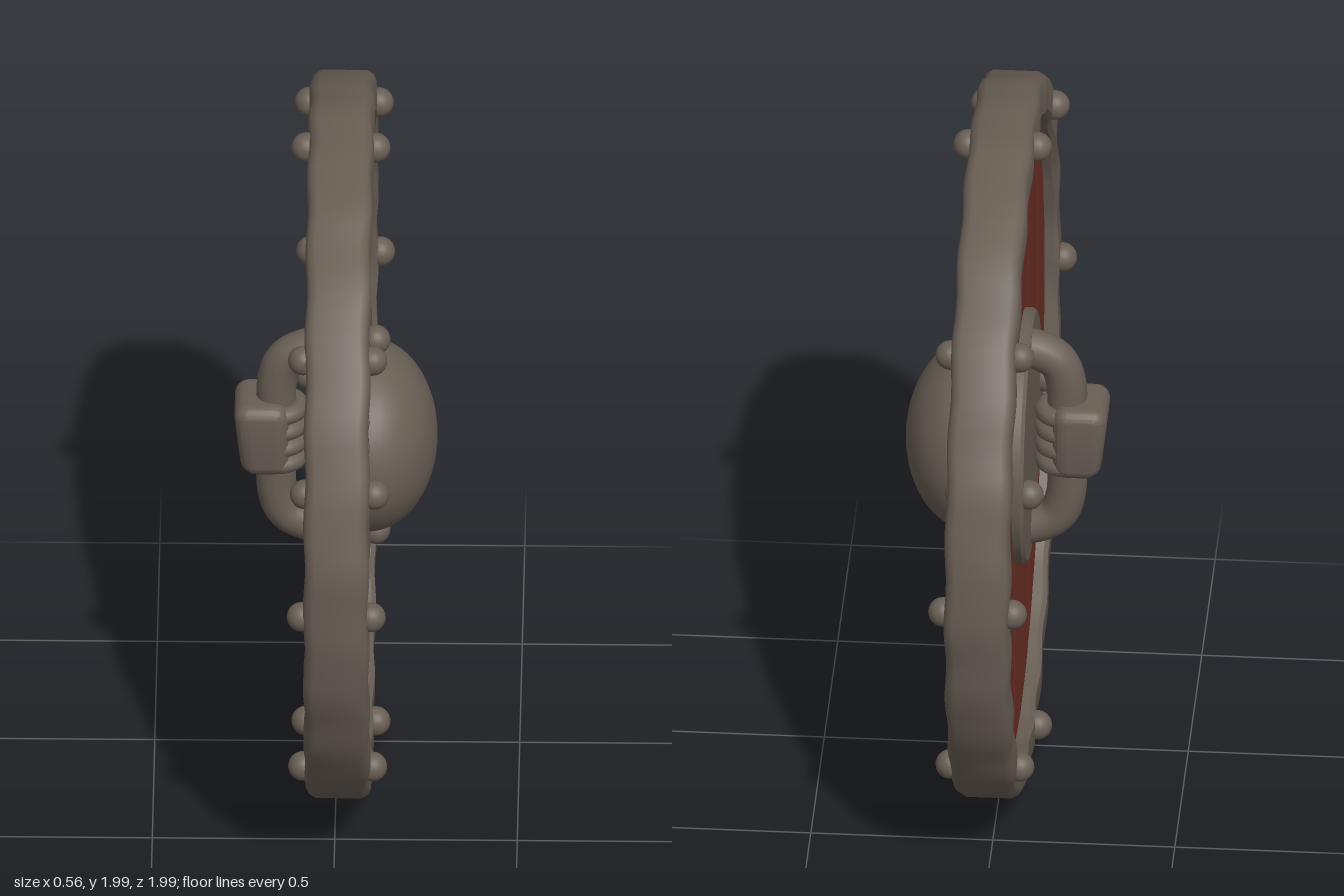
import * as THREE from 'three';
import { toCreasedNormals } from 'three/addons/utils/BufferGeometryUtils.js';
import { RoundedBoxGeometry } from 'three/addons/geometries/RoundedBoxGeometry.js';

const iron = new THREE.MeshStandardMaterial({ color: 0x685e54 });
iron.name = 'worn iron';
const paint = new THREE.MeshStandardMaterial({ color: 0x6b2f25 });
paint.name = 'red painted wood';
const groove = new THREE.MeshStandardMaterial({ color: 0x431c15 });
groove.name = 'dark wood groove';

const CY = 1;      // height of the shield's centre
const MID = 0.01;  // middle of its thickness along x

function add(parent, name, geometry, material, x = 0, y = 0, z = 0) {
  const mesh = new THREE.Mesh(geometry, material);
  mesh.name = name;
  mesh.position.set(x, y, z);
  parent.add(mesh);
  return mesh;
}

// Revolves [radius, x] pairs about the x axis; wobble dents the edges like hammered metal
function turned(profile, segments, wobble = 0) {
  const geo = new THREE.LatheGeometry(profile.map(([r, h]) => new THREE.Vector2(r, h)), segments);
  geo.rotateZ(-Math.PI / 2);
  const p = geo.attributes.position;
  for (let i = 0; wobble && i < p.count; i++) {
    const a = Math.atan2(p.getZ(i), p.getY(i));
    const s = 1 - wobble * (0.5 + 0.25 * Math.sin(17 * a) + 0.25 * Math.sin(29 * a + 1.3));
    const dx = wobble * 0.4 * Math.sin(23 * a + 0.6);
    p.setXYZ(i, p.getX(i) + dx, p.getY(i) * s, p.getZ(i) * s);
  }
  return toCreasedNormals(geo, 0.7);
}

// Boards of one face, cut from a disc along slightly slanted seams
function createBoards(name) {
  const R = 0.895, gap = 0.005;
  const face = new THREE.Group();
  face.name = name;
  // Each seam: its offset at the top and at the bottom
  const seams = [[-R, -R], [-0.685, -0.70], [-0.218, -0.238], [0.275, 0.275], [0.615, 0.625], [R, R]];
  const arcY = (x) => Math.sqrt(Math.max(0, R * R - x * x));
  for (let i = 0; i < seams.length - 1; i++) {
    const [tl, bl] = seams[i].map((v) => v + gap);
    const [tr, br] = seams[i + 1].map((v) => v - gap);
    const pts = [];
    for (let k = 0; k <= 16; k++) {
      const x = bl + (br - bl) * k / 16;
      pts.push(new THREE.Vector2(x, -arcY(x)));
    }
    for (let k = 0; k <= 16; k++) {
      const x = tr + (tl - tr) * k / 16;
      pts.push(new THREE.Vector2(x, arcY(x)));
      // Split running down from the top of the middle board
      if (i === 2 && k === 6) {
        pts.push(new THREE.Vector2(0.014, arcY(0.014)), new THREE.Vector2(0.006, 0.76),
          new THREE.Vector2(0.012, 0.58), new THREE.Vector2(0.0, 0.76), new THREE.Vector2(0.007, arcY(0.007)));
      }
    }
    const geo = new THREE.ExtrudeGeometry(new THREE.Shape(pts), {
      depth: 0.035, bevelThickness: 0.007, bevelSize: 0.006, bevelOffset: -0.006, bevelSegments: 2,
    });
    geo.rotateY(Math.PI / 2);
    add(face, 'board' + (i + 1), geo, paint, 0.008, 0, 0);
  }
  return face;
}

export function createModel() {
  const shield = new THREE.Group();
  shield.name = 'roundShield';

  // Wooden core and the boards on both faces
  const core = new THREE.CylinderGeometry(0.9, 0.9, 0.05, 64);
  core.rotateZ(Math.PI / 2);
  add(shield, 'core', core, groove, MID, CY, 0);
  const front = createBoards('frontBoards');
  front.position.set(MID, CY, 0);
  const back = createBoards('backBoards');
  back.position.set(MID, CY, 0);
  back.rotation.y = Math.PI;
  shield.add(front, back);

  // Hammered iron rim
  const half = 0.088;
  const rim = turned([
    [0.888, -half + 0.012], [0.9, -half], [0.972, -half], [0.99, -half + 0.008], [1, -half + 0.026],
    [1, half - 0.026], [0.99, half - 0.008], [0.972, half], [0.9, half], [0.888, half - 0.012],
    [0.884, 0], [0.888, -half + 0.012],
  ], 144, 0.008);
  add(shield, 'rim', rim, iron, MID, CY, 0);

  // Boss: flange with a domed centre
  const flange = turned([
    [0.355, 0.03], [0.355, 0.078], [0.345, 0.09], [0.268, 0.09], [0.24, 0.085],
  ], 64, 0.006);
  add(shield, 'bossFlange', flange, iron, 0, CY, 0);
  const dome = [];
  for (let i = 0; i <= 16; i++) {
    const a = i / 16 * Math.PI / 2;
    dome.push([0.267 * Math.cos(a), 0.085 + 0.19 * Math.sin(a)]);
  }
  add(shield, 'bossDome', turned(dome, 48), iron, 0, CY, 0);

  // Plate behind the handle
  const plate = turned([[0, -0.072], [0.342, -0.072], [0.352, -0.062], [0.352, -0.02]], 64);
  add(shield, 'backPlate', plate, iron, 0, CY, 0);

  // Rivets around the rim and the boss
  const rivetGeo = new THREE.SphereGeometry(0.041, 20, 14);
  const rivet = (name, x, r, a) => add(shield, name, rivetGeo, iron, x, CY + r * Math.cos(a), r * Math.sin(a));
  for (let i = 0; i < 8; i++) {
    const a = i * Math.PI / 4;
    rivet('frontRimRivet', 0.105, 0.932, a);
    rivet('backRimRivet', -0.085, 0.932, a);
  }
  for (let i = 0; i < 4; i++) {
    const a = i * Math.PI / 2;
    rivet('bossRivet', 0.105, 0.308, a);
    if (i % 2) rivet('backPlateRivet', -0.085, 0.308, a);
  }

  // Bent handle bar
  const handle = new THREE.Group();
  handle.name = 'handle';
  shield.add(handle);
  const path = new THREE.CatmullRomCurve3([
    [-0.03, 1.285], [-0.085, 1.278], [-0.14, 1.245], [-0.164, 1.18], [-0.165, 1.0],
    [-0.164, 0.82], [-0.14, 0.755], [-0.085, 0.722], [-0.03, 0.715],
  ].map(([x, y]) => new THREE.Vector3(x, y, 0)));
  add(handle, 'handleBar', new THREE.TubeGeometry(path, 56, 0.055, 18), iron);

  // Padded grip, slimmer towards the bottom, with wraps around the bar
  const grip = new RoundedBoxGeometry(0.15, 0.225, 0.2, 6, 0.04);
  const p = grip.attributes.position;
  for (let i = 0; i < p.count; i++) {
    const t = 0.5 - p.getY(i) / 0.225;
    p.setX(i, p.getX(i) + (p.getX(i) < 0 ? 0.025 * t * t : 0));
    p.setZ(i, p.getZ(i) * (1 - 0.14 * t));
  }
  grip.computeVertexNormals();
  add(handle, 'grip', toCreasedNormals(grip, 1.0), iron, -0.207, 1.018, 0);
  const wrapGeo = new THREE.TorusGeometry(0.056, 0.027, 10, 28);
  wrapGeo.rotateX(Math.PI / 2);
  for (let i = 0; i < 4; i++) {
    add(handle, 'gripWrap', wrapGeo, iron, -0.16, 0.935 + i * 0.052, 0);
  }
  return shield;
}
